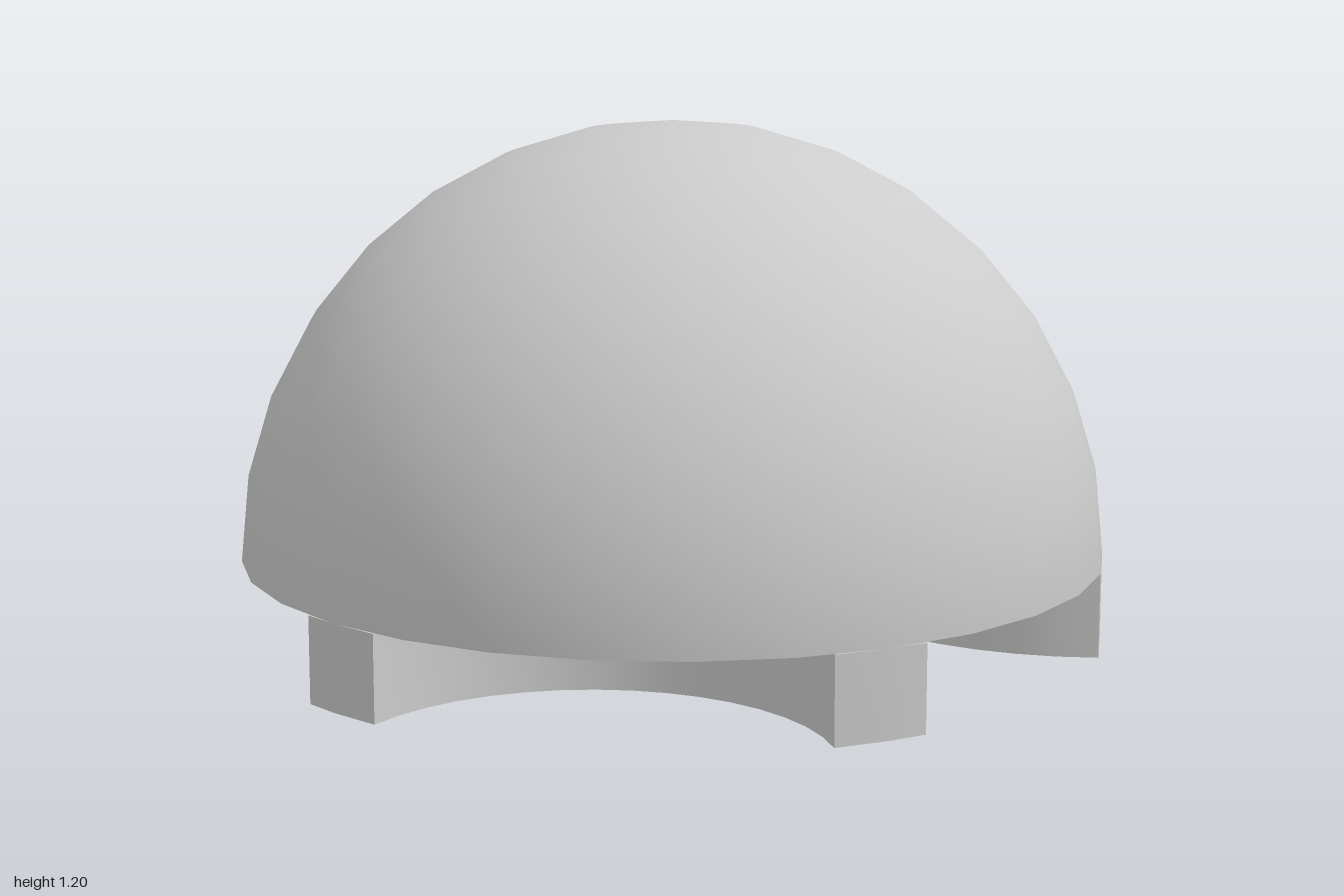
import * as THREE from 'three';
import { toCreasedNormals } from 'three/addons/utils/BufferGeometryUtils.js';

const RAD = Math.PI / 180;
const BASE = 0.2;        // height of the flat underside, also the sphere centre
const NOTCH = 0.4;       // ceiling of the socket
const CENTRE = 1.05;     // distance of each connector circle from the axis
const RIM = Math.sqrt(1 - (NOTCH - BASE) ** 2);

// Points on the 30-sided rim; angles in degrees from the back
function rim(from, to) {
  const angles = [from];
  for (let a = Math.ceil((from + 0.01) / 12) * 12; a < to - 0.01; a += 12) angles.push(a);
  angles.push(to);
  return angles.map(a => new THREE.Vector2(Math.sin(a * RAD), Math.cos(a * RAD)));
}

// Circular cut running from rim angle -half to +half
function arc(half) {
  const x = Math.sin(half * RAD), y = CENTRE - Math.cos(half * RAD);
  const r = Math.hypot(x, y), end = Math.atan2(x, y), n = 16;
  return Array.from({ length: n + 1 }, (_, i) => {
    const t = end * (2 * i / n - 1);
    return new THREE.Vector2(r * Math.sin(t), CENTRE - r * Math.cos(t));
  });
}

// Upright extrusion of an outline between two heights
function slab(points, bottom, top) {
  const g = new THREE.ExtrudeGeometry(new THREE.Shape(points), { depth: top - bottom, bevelEnabled: false });
  g.rotateX(-Math.PI / 2).translate(0, bottom, 0);
  return g;
}

// Give a vertex the normal of the sphere
function sphereNormal(g, i) {
  const p = new THREE.Vector3().fromBufferAttribute(g.attributes.position, i);
  p.y -= BASE;
  p.normalize();
  g.attributes.normal.setXYZ(i, p.x, p.y, p.z);
}

export function createModel() {
  const group = new THREE.Group();
  const material = new THREE.MeshStandardMaterial({ color: 0xcccccc });
  const add = (name, geometry, turn = 0) => {
    const mesh = new THREE.Mesh(geometry, material);
    mesh.name = name;
    mesh.rotation.y = turn * RAD;
    group.add(mesh);
  };

  // Dome above the socket ceiling
  const profile = [new THREE.Vector2(RIM, NOTCH)];
  for (let i = 2; i <= 8; i++) {
    const a = i * 11.25 * RAD;
    profile.push(new THREE.Vector2(i === 8 ? 0 : Math.cos(a), BASE + Math.sin(a)));
  }
  const dome = new THREE.LatheGeometry(profile, 30);
  for (let i = 0; i < dome.attributes.position.count; i++) sphereNormal(dome, i);
  add('dome', dome);

  // Flat ceiling of the socket, facing down
  const ceiling = new THREE.CircleGeometry(RIM, 30, Math.PI / 2);
  ceiling.rotateX(Math.PI / 2).translate(0, NOTCH, 0);
  add('socketCeiling', ceiling);

  // Lower band of the dome with the round socket cut from the back
  let band = slab([...rim(36, 324), ...arc(36).slice(1, -1)], BASE, NOTCH);
  const pos = band.attributes.position;
  for (let i = 0; i < pos.count; i++) {
    const r = Math.hypot(pos.getX(i), pos.getZ(i));
    if (r > 0.99 && pos.getY(i) > 0.3) pos.setXYZ(i, pos.getX(i) * RIM, NOTCH, pos.getZ(i) * RIM);
  }
  band = toCreasedNormals(band, 0.4);
  const p = band.attributes.position, n = band.attributes.normal;
  for (let i = 0; i < p.count; i++) {
    const outward = n.getX(i) * p.getX(i) + n.getZ(i) * p.getZ(i);
    if (outward > 0.9) sphereNormal(band, i);
  }
  add('lowerBand', band);

  // Solid foot and open ring foot, each a third of a turn from the socket
  const solid = [...rim(-36, 36), ...arc(36).reverse().slice(1, -1)];
  add('solidFoot', toCreasedNormals(slab(solid, 0.005, BASE), 0.4), -120);

  const ring = [
    ...rim(-41, -28.7), ...arc(28.7).slice(1, -1),
    ...rim(28.7, 41), ...arc(41).reverse().slice(1, -1),
  ];
  add('ringFoot', toCreasedNormals(slab(ring, 0.005, BASE), 0.4), 120);

  return group;
}
